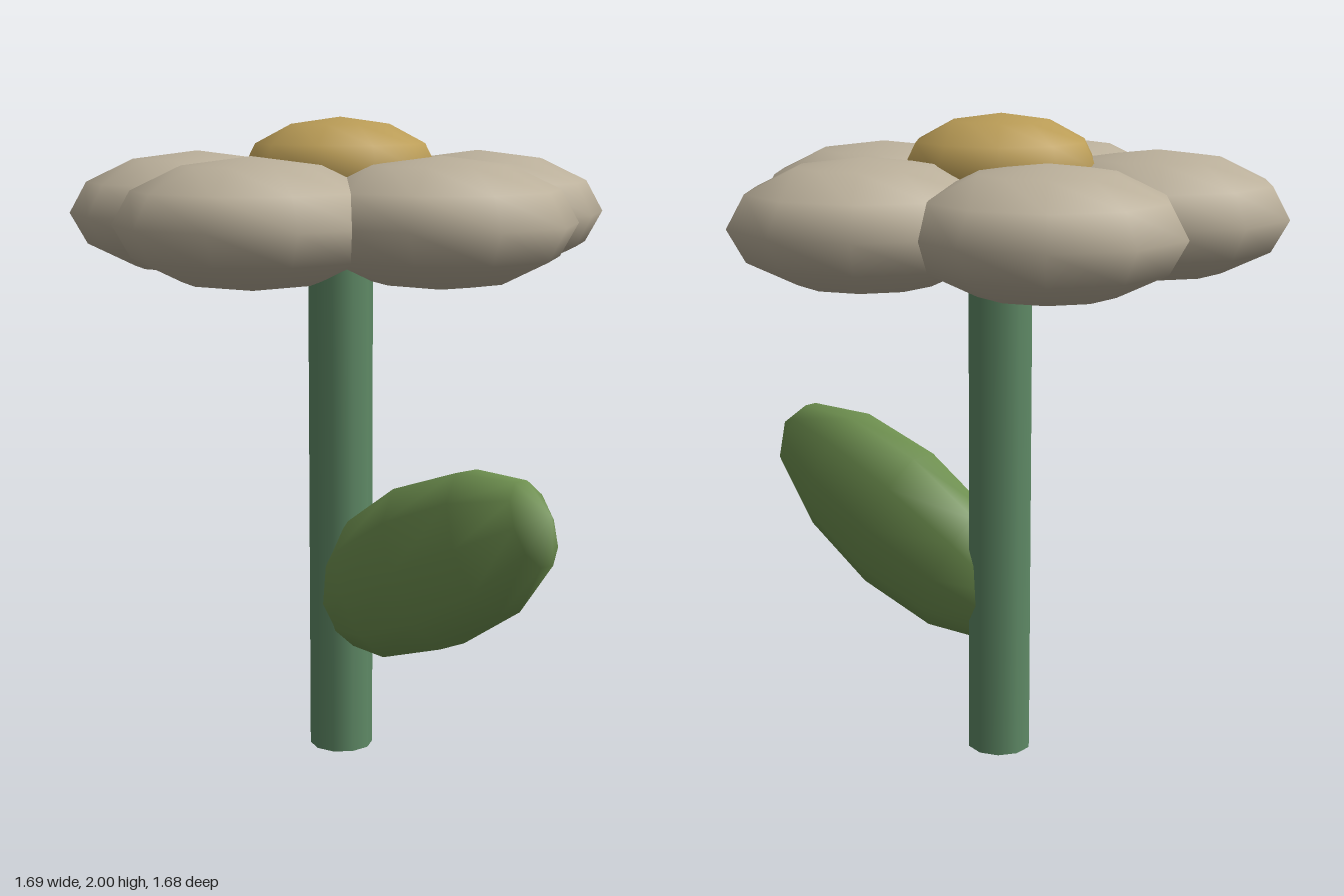
import * as THREE from 'three';

const SIDES = 10;
const AXIS_X = -0.09; // the stem stands a little off centre to balance the leaf

const material = (color) => new THREE.MeshStandardMaterial({ color });

// Low-poly, smooth-shaded ellipsoid with a corner facing +z
function ellipsoid(name, mat, radii, position) {
  const geometry = new THREE.SphereGeometry(1, SIDES, 6);
  geometry.rotateY(Math.PI / SIDES);
  geometry.scale(...radii);
  const mesh = new THREE.Mesh(geometry, mat);
  mesh.name = name;
  mesh.position.set(...position);
  return mesh;
}

export function createModel() {
  const flower = new THREE.Group();
  flower.name = 'flower';

  // Stem, ending inside the flower head
  const stemHeight = 1.7;
  const stem = new THREE.Mesh(
    new THREE.CylinderGeometry(0.1, 0.1, stemHeight, SIDES),
    material(0x5f8a66)
  );
  stem.name = 'stem';
  stem.position.set(AXIS_X, stemHeight / 2, 0);
  flower.add(stem);

  // Ring of five overlapping petals
  const petals = new THREE.Group();
  petals.name = 'petals';
  const petalMaterial = material(0xbbb09b);
  const ringRadius = 0.463;
  for (let i = 0; i < 5; i++) {
    const a = (i / 5) * Math.PI * 2;
    petals.add(ellipsoid(`petal${i + 1}`, petalMaterial, [0.4, 0.192, 0.4],
      [AXIS_X + ringRadius * Math.cos(a), 1.703, ringRadius * Math.sin(a)]));
  }
  flower.add(petals);

  // Domed centre
  flower.add(ellipsoid('flowerCentre', material(0xbb9d57), [0.3, 0.16, 0.3], [AXIS_X, 1.84, 0]));

  // Leaf, its long axis leaning up and away from the stem
  const leaf = ellipsoid('leaf', material(0x6f9150), [0.263, 0.566, 0.157], [0.33, 0.675, 0]);
  leaf.rotation.z = THREE.MathUtils.degToRad(-64.3);
  flower.add(leaf);

  return flower;
}
